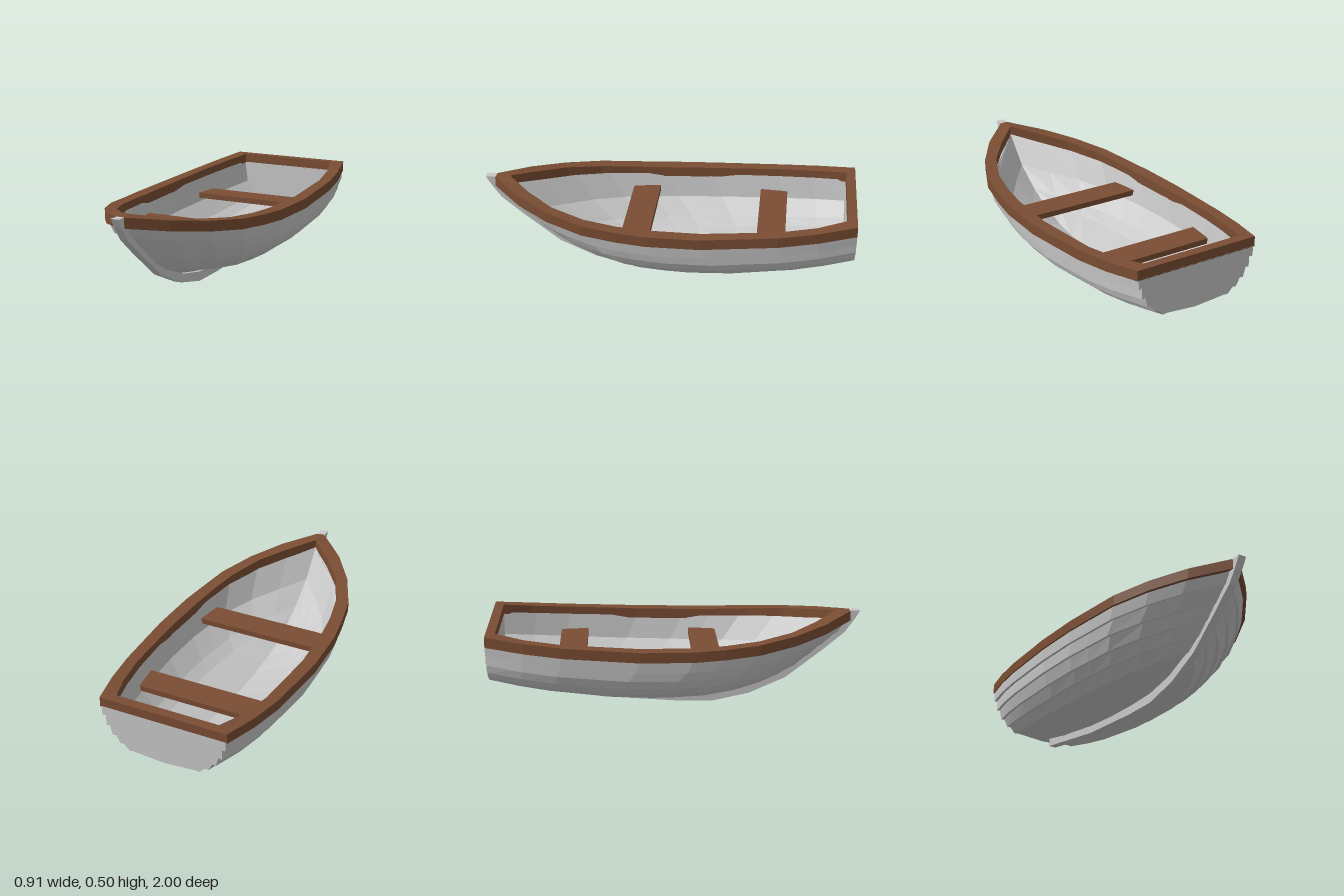
import * as THREE from 'three';

// Stations from stern (u = 0) to bow (u = 1) with relative half-width
const Z = [-1, -0.8, -0.6, -0.2, 0.08, 0.24, 0.42, 0.62, 0.79, 0.95];
const W = [0.76, 0.87, 0.94, 1, 0.98, 0.93, 0.855, 0.66, 0.4, 0.045];
// Long hull lines: half-width amidships, height amidships / stern / bow, z at bow
const LINES = [
  [0.448, 0.365, 0.43, 0.46, 0.93],
  [0.443, 0.3, 0.375, 0.39, 0.885],
  [0.418, 0.245, 0.32, 0.32, 0.8],
  [0.375, 0.19, 0.27, 0.26, 0.73],
  [0.32, 0.145, 0.23, 0.2, 0.655],
  [0.255, 0.1, 0.2, 0.15, 0.57],
  [0, 0.045, 0.19, 0.115, 0.48],
];

// Height of a line that sags amidships
function sag(z, mid, stern, bow, zBow) {
  const z0 = 0.05;
  return z < z0
    ? mid + (stern - mid) * ((z0 - z) / (z0 + 1)) ** 2
    : mid + (bow - mid) * ((z - z0) / (zBow - z0)) ** 2;
}

// Point on hull line j at station i, moved inward by dx and up by dy
function linePoint(j, i, dx = 0, dy = 0, sternZ = -1, bowCut = 0) {
  const [x, mid, stern, bow, zBow] = LINES[j];
  const u = (Z[i] + 1) / 1.95;
  const z = sternZ + u * (zBow - bowCut - sternZ);
  return [Math.max(0, x * W[i] - dx), sag(z, mid, stern, bow, zBow) + dy, z];
}

const mirrored = (half) => [...half, ...half.slice(0, -1).reverse().map(([x, y, z]) => [-x, y, z])];

// Faceted surface through cross-sections
function loft(sections, closeRing, closeEnds) {
  const n = sections[0].length, m = sections.length, pos = [];
  for (let i = 0; i < (closeEnds ? m : m - 1); i++) {
    const a = sections[i], b = sections[(i + 1) % m];
    for (let j = 0; j < (closeRing ? n : n - 1); j++) {
      const k = (j + 1) % n;
      pos.push(...a[j], ...b[j], ...b[k], ...a[j], ...b[k], ...a[k]);
    }
  }
  const g = new THREE.BufferGeometry();
  g.setAttribute('position', new THREE.Float32BufferAttribute(pos, 3));
  g.computeVertexNormals();
  return g;
}

export function createModel() {
  const group = new THREE.Group();
  const grey = new THREE.MeshStandardMaterial({ color: 0xc8c8c8, side: THREE.DoubleSide, flatShading: true });
  grey.name = 'grey paint';
  const brown = new THREE.MeshStandardMaterial({ color: 0x7a4d33, side: THREE.DoubleSide, flatShading: true });
  brown.name = 'brown wood';
  const add = (name, geometry, material) => {
    const mesh = new THREE.Mesh(geometry, material);
    mesh.name = name;
    group.add(mesh);
    return mesh;
  };

  // Lapped planks: each plank's lower edge stands proud of the next one
  const outer = Z.map((_, i) => {
    const half = [linePoint(0, i)];
    for (let j = 1; j <= 5; j++) {
      const p = linePoint(j, i);
      half.push(p, linePoint(j, i, 0.018 * Math.min(1, p[0] / 0.1), 0.004));
    }
    half.push(linePoint(6, i));
    return mirrored(half);
  });
  add('plankedHull', loft(outer), grey);

  // Smooth inner lining and floor
  const inner = Z.map((_, i) => mirrored([
    linePoint(0, i, 0.06, 0.01, -0.96, 0.06),
    linePoint(2, i, 0.055, 0, -0.96, 0.06),
    linePoint(4, i, 0.05, 0.02, -0.96, 0.06),
    linePoint(5, i, 0.05, 0.03, -0.96, 0.06),
    linePoint(6, i, 0, 0.03, -0.96, 0.06),
  ]));
  add('innerLining', loft(inner), grey);

  // Stern board follows the stepped plank ends
  const sternShape = new THREE.Shape(outer[0].map(([x, y]) => new THREE.Vector2(x, y)));
  const transom = new THREE.ExtrudeGeometry(sternShape, { depth: 0.05, bevelEnabled: false });
  transom.translate(0, 0, -1);
  add('transom', transom, grey);

  // Rail ring: outer and inner edge at each station
  const innerX = [0.28, 0.33, 0.366, 0.385, 0.372, 0.355, 0.318, 0.24, 0.125, 0];
  const innerZ = [-0.95, -0.8, -0.6, -0.2, 0.08, 0.24, 0.42, 0.6, 0.745, 0.87];
  const railSide = Z.map((z, i) => {
    const y = sag(z, 0.415, 0.48, 0.505, 0.95), x = 0.456 * W[i];
    return [[x, y, z], [x, y - 0.055, z], [innerX[i], y - 0.055, innerZ[i]], [innerX[i], y, innerZ[i]]];
  });
  const railOther = railSide.map((s) => s.map(([x, y, z]) => [-x, y, z])).reverse();
  add('rail', loft([...railSide, ...railOther], true, true), brown);

  // Keel sweeping up into the stem
  const keelProfile = [
    [-0.88, 0.115], [-0.4, 0.035], [0, 0.004], [0.2, 0], [0.4, 0.042], [0.6, 0.13], [0.8, 0.285],
    [0.92, 0.385], [0.97, 0.455], [1, 0.505], [0.945, 0.505], [0.91, 0.44], [0.86, 0.38], [0.76, 0.3],
    [0.56, 0.16], [0.38, 0.085], [0.2, 0.052], [0, 0.05], [-0.4, 0.078], [-0.88, 0.162],
  ].map(([z, y]) => new THREE.Vector2(z, y));
  const keel = new THREE.ExtrudeGeometry(new THREE.Shape(keelProfile), { depth: 0.044, bevelEnabled: false });
  keel.rotateY(-Math.PI / 2).translate(0.022, 0, 0);
  add('keel', keel, grey);

  // Bench seats
  for (const [name, z, y] of [['aftSeat', -0.558, 0.3], ['forwardSeat', 0.16, 0.295]]) {
    add(name, new THREE.BoxGeometry(0.745, 0.03, 0.15), brown).position.set(0, y, z);
  }
  return group;
}
